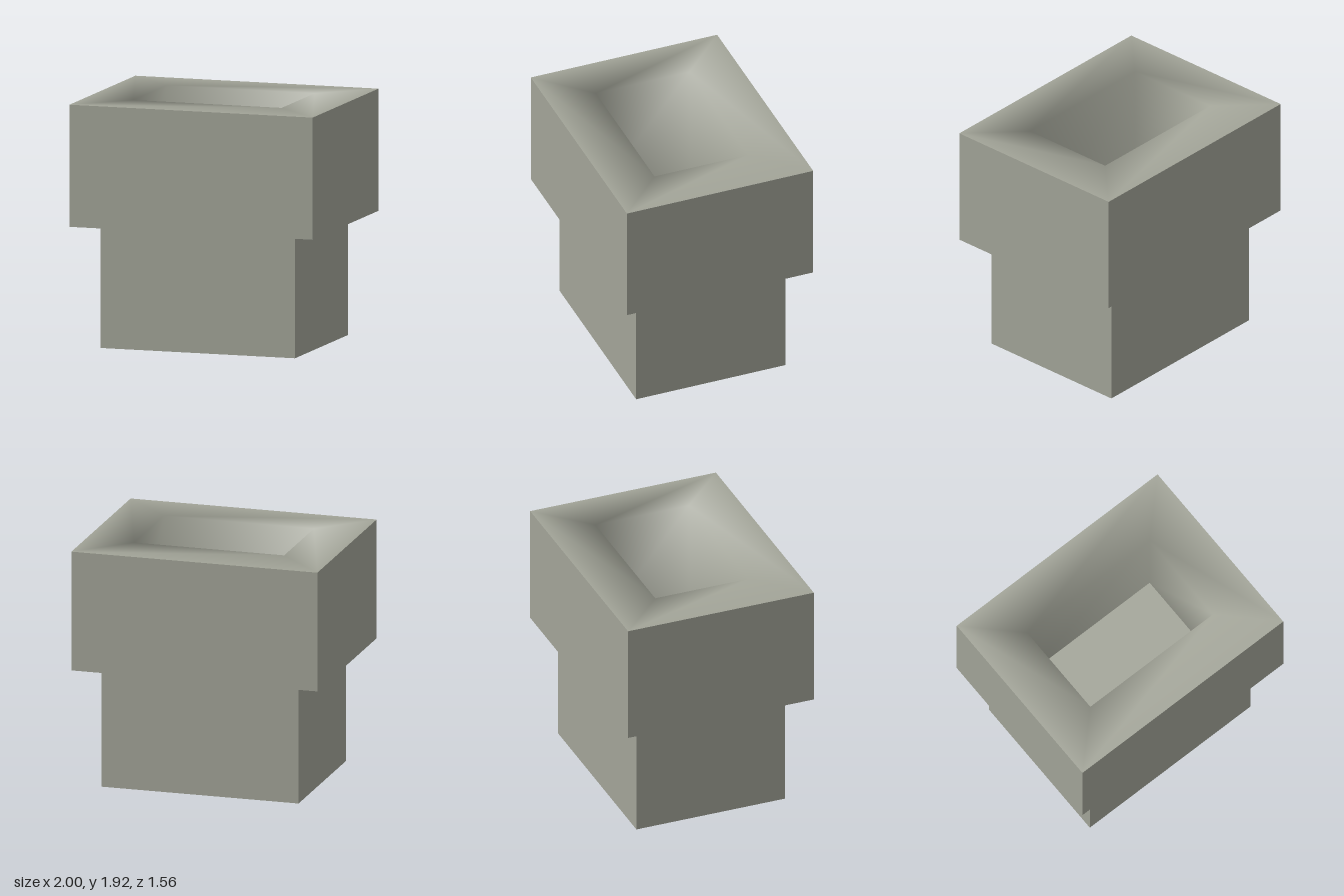
import * as THREE from 'three';

const TOP = 1.925, STEP = 0.965;

// Four corners of a horizontal rectangle, counter-clockwise seen from above
const rect = (hx, hz, y) => [[-hx, y, hz], [hx, y, hz], [hx, y, -hz], [-hx, y, -hz]];

// Bands of quads joining successive rectangles, with shared smooth normals
function loft(loops) {
  const index = [];
  for (let k = 0; k < loops.length - 1; k++) {
    for (let i = 0; i < 4; i++) {
      const j = (i + 1) % 4;
      const a = k * 4 + i, b = k * 4 + j, c = a + 4, d = b + 4;
      index.push(a, b, d, a, d, c);
    }
  }
  const geometry = new THREE.BufferGeometry();
  geometry.setAttribute('position', new THREE.Float32BufferAttribute(loops.flat(2), 3));
  geometry.setIndex(index);
  geometry.computeVertexNormals();
  return geometry;
}

export function createModel() {
  const group = new THREE.Group();
  const stone = new THREE.MeshStandardMaterial({ color: 0xa2a498 });
  stone.name = 'grey stone';

  const add = (name, geometry) => {
    const mesh = new THREE.Mesh(geometry, stone);
    mesh.name = name;
    group.add(mesh);
    return mesh;
  };

  // Pedestal; its top closes the bottom of the basin
  add('pedestal', new THREE.BoxGeometry(1.6, STEP, 1.25)).position.set(0, STEP / 2, -0.003);

  // Four flat outer walls of the upper block
  const outerTop = rect(1, 0.78, TOP), outerBottom = rect(1, 0.78, STEP);
  add('outerWalls', loft([outerBottom, outerTop]).toNonIndexed()).geometry.computeVertexNormals();

  // Overhanging underside around the pedestal
  add('underside', loft([rect(0.6, 0.38, STEP), outerBottom]));

  // Flat rim running smoothly into the walls of the basin
  add('rimAndBasin', loft([outerTop, rect(0.61, 0.392, TOP), rect(0.61, 0.392, STEP)]));

  return group;
}
